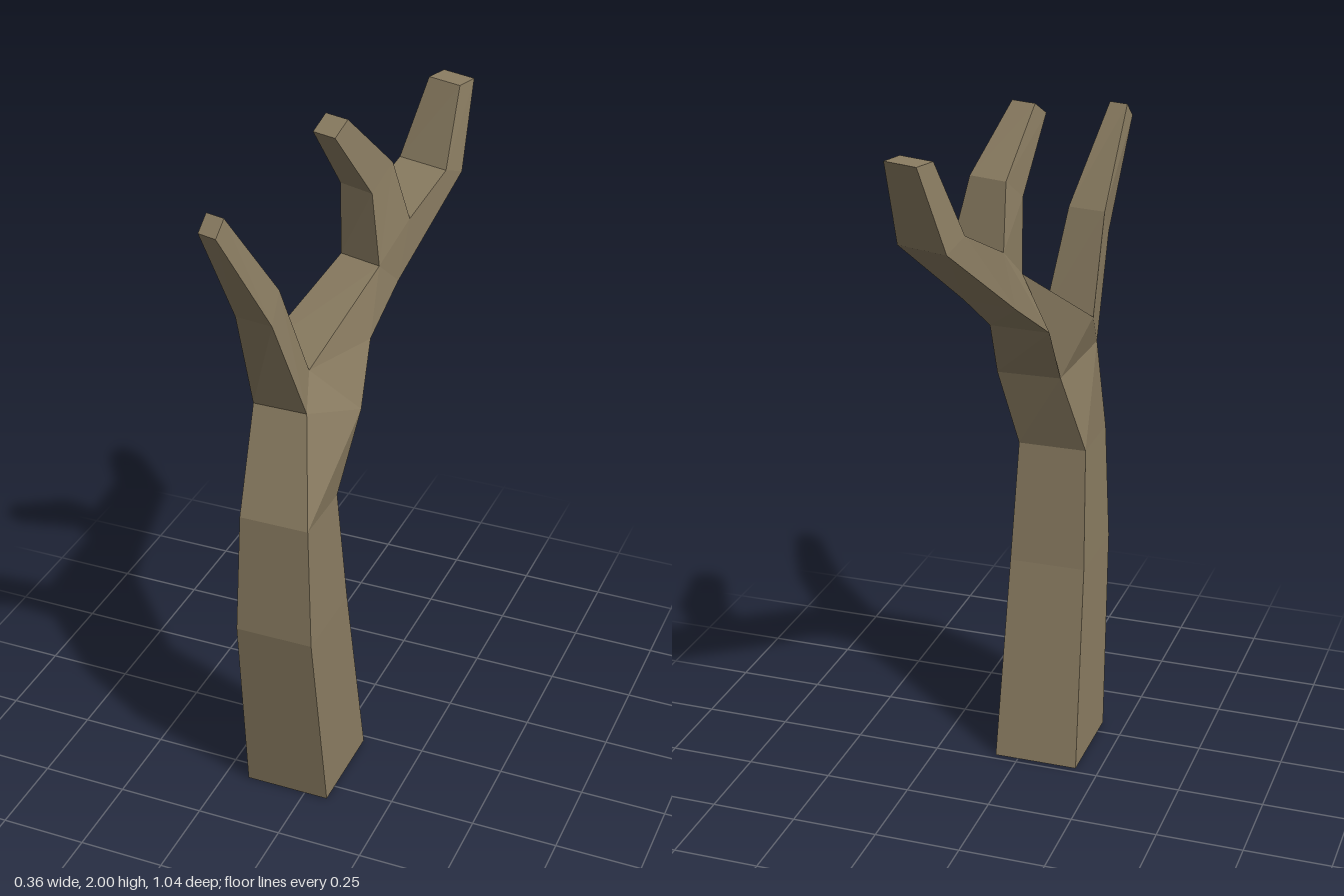
import * as THREE from 'three';

// Joints shared by neighbouring limbs; each pair is [+x side, -x side]
const collar = [[0, 1.26, 0.265], [-0.155, 1.26, 0.265]];
const nape = [[0.085, 1.2, 0.09], [-0.1, 1.2, 0.095]];
const crotch = [[-0.02, 1.355, 0.2], [-0.175, 1.37, 0.155]];
const forkFront = [[0.075, 1.56, -0.06], [-0.05, 1.56, -0.095]];
const forkBack = [[0.115, 1.655, -0.18], [-0.04, 1.655, -0.22]];

// Four-cornered section from a front pair and a back pair
const section = (front, back) => [front[0], back[0], back[1], front[1]];
// Level rectangular section
const level = (y, x0, x1, z0, z1) =>
  section([[x1, y, z1], [x0, y, z1]], [[x1, y, z0], [x0, y, z0]]);

// Joins successive sections with quads; skip(step, side) leaves a side open
function limb(name, sections, material, { capStart = false, capEnd = true, skip = () => false, extra = [] } = {}) {
  const pos = [];
  const tri = (a, b, c) => pos.push(...a, ...b, ...c);
  const quad = (a, b, c, d) => { tri(a, b, c); tri(a, c, d); };
  for (let s = 0; s < sections.length - 1; s++) {
    const a = sections[s], b = sections[s + 1];
    for (let i = 0; i < 4; i++) {
      const j = (i + 1) % 4;
      if (!skip(s, i)) quad(a[i], a[j], b[j], b[i]);
    }
  }
  if (capStart) quad(...[...sections[0]].reverse());
  if (capEnd) quad(...sections[sections.length - 1]);
  extra.forEach((t) => tri(...t));
  const geometry = new THREE.BufferGeometry();
  geometry.setAttribute('position', new THREE.Float32BufferAttribute(pos, 3));
  geometry.computeVertexNormals();
  const mesh = new THREE.Mesh(geometry, material);
  mesh.name = name;
  return mesh;
}

export function createModel() {
  const group = new THREE.Group();
  group.name = 'bareTree';
  const bark = new THREE.MeshStandardMaterial({ color: 0x8b7d62, flatShading: true });

  // Trunk, with a wedge on each side filling the gap up to the crotch
  group.add(limb('trunk', [
    level(0, -0.18, 0.07, 0.02, 0.31),
    level(0.6, -0.165, 0.06, 0.13, 0.39),
    level(0.96, -0.155, 0.045, 0.165, 0.37),
    section(collar, nape),
  ], bark, {
    capStart: true,
    capEnd: false,
    extra: [[collar[0], nape[0], crotch[0]], [nape[1], collar[1], crotch[1]]],
  }));

  // Forward branch
  group.add(limb('frontBranch', [
    section(collar, crotch),
    section([[-0.05, 1.56, 0.365], [-0.16, 1.56, 0.35]], [[-0.055, 1.635, 0.305], [-0.17, 1.64, 0.27]]),
    section([[-0.125, 1.86, 0.52], [-0.18, 1.86, 0.505]], [[-0.12, 1.9, 0.48], [-0.175, 1.9, 0.465]]),
  ], bark));

  // Long rear branch, open on top where the middle branch grows out
  group.add(limb('rearBranch', [
    section(crotch, nape),
    section(forkFront, [[0.075, 1.37, 0], [-0.1, 1.37, -0.01]]),
    section(forkBack, [[0.1, 1.485, -0.14], [-0.06, 1.485, -0.175]]),
    section([[0.16, 1.74, -0.335], [0.01, 1.74, -0.375]], [[0.18, 1.71, -0.41], [0.03, 1.71, -0.455]]),
    section([[0.16, 1.95, -0.43], [0.06, 1.95, -0.46]], [[0.178, 1.95, -0.495], [0.08, 1.95, -0.525]]),
  ], bark, { skip: (step, side) => step === 1 && side === 3 }));

  // Middle branch
  group.add(limb('middleBranch', [
    section(forkFront, forkBack),
    section([[0.055, 1.77, -0.055], [-0.05, 1.77, -0.09]], [[0.08, 1.83, -0.14], [-0.03, 1.83, -0.17]]),
    section([[0, 1.965, 0.065], [-0.07, 1.965, 0.045]], [[0.015, 2, 0.015], [-0.055, 2, -0.005]]),
  ], bark));

  return group;
}
